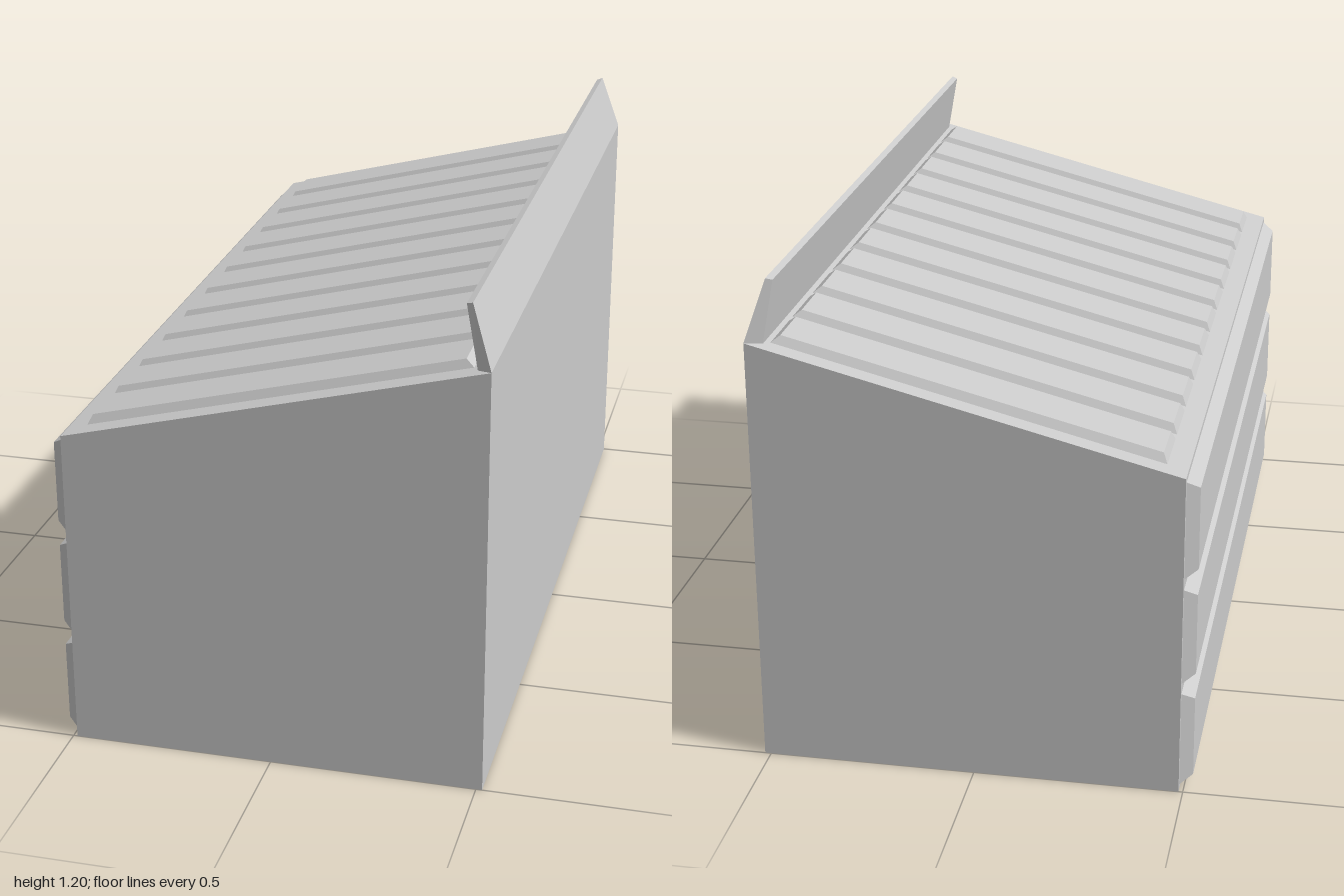
import * as THREE from 'three';

const material = new THREE.MeshStandardMaterial({ color: 0xcccccc, flatShading: true });

// Height of the sloping top at a given x
const slope = (x) => 0.8 + ((x + 0.49) * 0.255) / 1.005;

// Bevelled block between two four-cornered loops, both anticlockwise from outside;
// the base stays open because it sits on the body
function bevelBlock(name, base, top) {
  const points = [];
  for (let i = 0; i < 4; i++) {
    const j = (i + 1) % 4;
    points.push(base[i], base[j], top[j], base[i], top[j], top[i]);
  }
  points.push(top[0], top[1], top[2], top[0], top[2], top[3]);
  const geometry = new THREE.BufferGeometry();
  geometry.setAttribute('position', new THREE.Float32BufferAttribute(points.flat(), 3));
  geometry.computeVertexNormals();
  const mesh = new THREE.Mesh(geometry, material);
  mesh.name = name;
  return mesh;
}

// Rectangle lying parallel to the sloping top, raised by lift
const slopeRect = (x0, x1, z0, z1, lift) =>
  [[x0, z1], [x1, z1], [x1, z0], [x0, z0]].map(([x, z]) => [x, slope(x) + lift, z]);

// Upright rectangle facing -x
const sideRect = (x, y0, y1, z) => [[x, y0, -z], [x, y0, z], [x, y1, z], [x, y1, -z]];

export function createModel() {
  const model = new THREE.Group();
  model.name = 'slopedCounter';

  // Body with a sloping top
  const profile = new THREE.Shape([
    new THREE.Vector2(-0.49, 0),
    new THREE.Vector2(0.515, 0),
    new THREE.Vector2(0.515, 1.055),
    new THREE.Vector2(-0.49, 0.8),
  ]);
  const bodyGeometry = new THREE.ExtrudeGeometry(profile, { depth: 2, bevelEnabled: false });
  bodyGeometry.translate(0, 0, -1);
  const body = new THREE.Mesh(bodyGeometry, material);
  body.name = 'body';
  model.add(body);

  // Raised slats across the top
  const slats = new THREE.Group();
  slats.name = 'topSlats';
  for (let i = 0; i < 11; i++) {
    const z = -0.877 + i * 0.175;
    slats.add(bevelBlock('slat',
      slopeRect(-0.442, 0.467, z - 0.075, z + 0.075, 0),
      slopeRect(-0.432, 0.447, z - 0.062, z + 0.063, 0.02)));
  }
  model.add(slats);

  // Three long bevelled panels on the low side
  const panels = new THREE.Group();
  panels.name = 'sidePanels';
  for (let i = 0; i < 3; i++) {
    const y = 0.133 + i * 0.267;
    panels.add(bevelBlock('panel',
      sideRect(-0.49, y - 0.12, y + 0.12, 0.988),
      sideRect(-0.52, y - 0.101, y + 0.101, 0.968)));
  }
  model.add(panels);

  // Tapered lip along the high edge, leaning inwards
  const lipBase = [[0.479, 0.97], [0.515, 1], [0.515, -1], [0.479, -0.97]]
    .map(([x, z]) => [x, slope(x), z]);
  const lipTop = [[0.451, 0.965], [0.466, 0.972], [0.466, -0.972], [0.451, -0.965]]
    .map(([x, z]) => [x, x < 0.46 ? 1.198 : 1.203, z]);
  model.add(bevelBlock('lip', lipBase, lipTop));

  return model;
}
